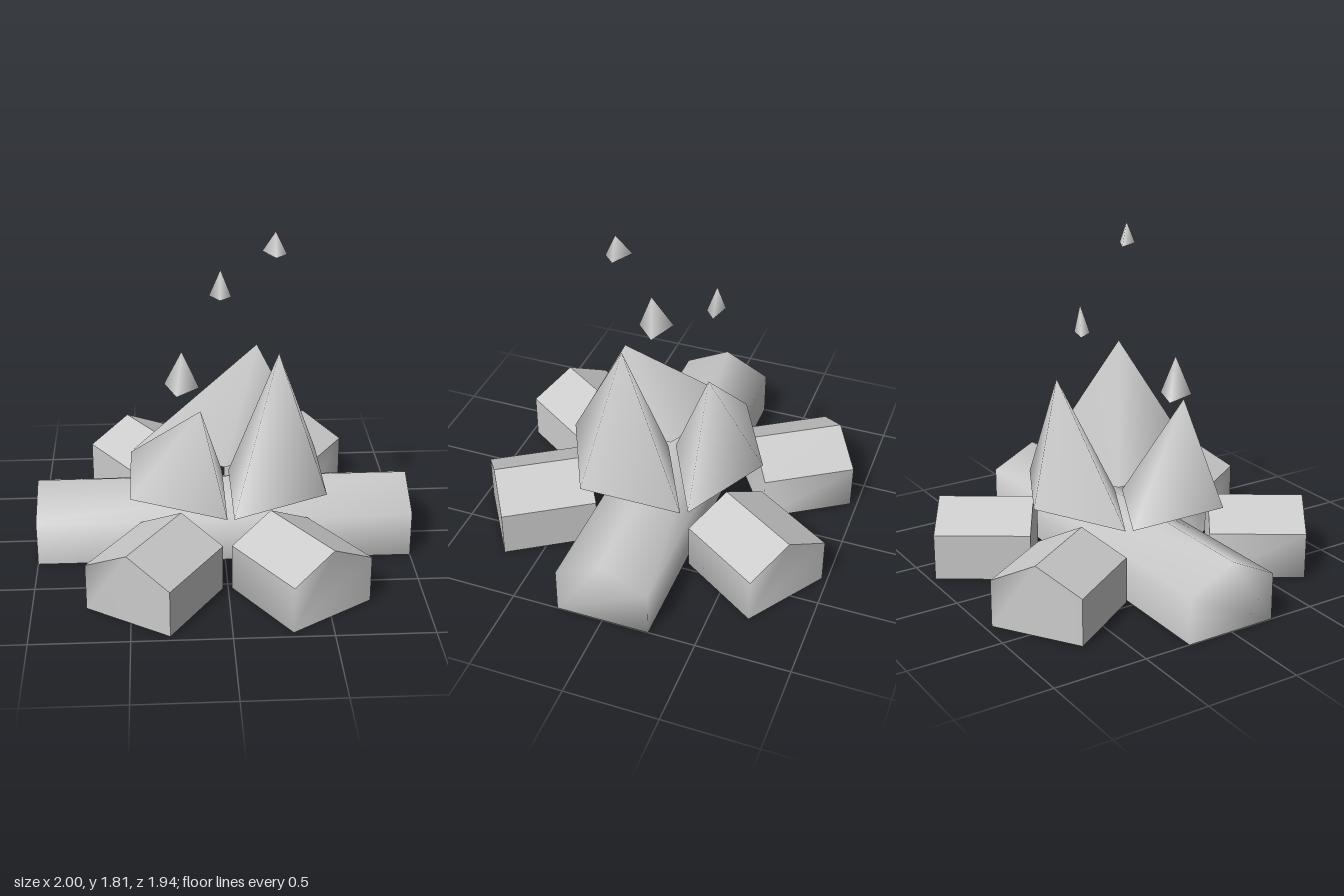
import * as THREE from 'three';

// Five-sided log section, counter-clockwise seen from the +z end
const SECTION = [[-0.25, 0], [0.25, 0], [0.25, 0.25], [0, 0.375], [-0.25, 0.25]];

function meshFrom(name, points, index) {
  const geo = new THREE.BufferGeometry();
  geo.setAttribute('position', new THREE.Float32BufferAttribute(points.flat(), 3));
  geo.setIndex(index);
  geo.computeVertexNormals();
  const mesh = new THREE.Mesh(geo, new THREE.MeshStandardMaterial({ color: 0xcccccc, side: THREE.DoubleSide }));
  mesh.name = name;
  return mesh;
}

// Log along z with two ends: soft sides blend into the ends, flat sides keep
// their own corners, and any side in neither list is left open
// (0 underside, 1 +x wall, 2 +x slope, 3 -x slope, 4 -x wall)
function makeLog(name, length, soft, flat) {
  const h = length / 2;
  const points = [h, -h].flatMap((z) => SECTION.map(([x, y]) => [x, y, z]));
  const index = [];
  const quad = (a, b, c, d) => index.push(a, b, c, a, c, d);
  for (const i of soft) {
    const j = (i + 1) % 5;
    quad(i, i + 5, j + 5, j);
  }
  for (const i of flat) {
    const j = (i + 1) % 5;
    const n = points.length;
    points.push(points[i], points[i + 5], points[j + 5], points[j]);
    quad(n, n + 1, n + 2, n + 3);
  }
  for (let i = 1; i < 4; i++) index.push(0, i, i + 1, 5, i + 6, i + 5);
  return meshFrom(name, points, index);
}

// Short log, open underneath, pointing outward from the middle
function shortLog(name, x, z) {
  const log = makeLog(name, 0.51, [4], [1, 2, 3]);
  log.position.set(x, 0, z);
  log.rotation.y = Math.atan2(Math.sign(x) * 0.548, Math.sign(z) * 0.836);
  return log;
}

// Hollow pyramid: base corners [x, z] counter-clockwise from above, open base
function pyramid(name, corners, baseY, tip) {
  const n = corners.length;
  const points = [...corners.map(([x, z]) => [x, baseY, z]), tip];
  const index = corners.flatMap((_, i) => [i, (i + 1) % n, n]);
  return meshFrom(name, points, index);
}

export function createModel() {
  const fire = new THREE.Group();
  fire.name = 'campfire';

  // Long log across the middle
  const longLog = makeLog('longLog', 2, [1, 2, 3, 4], [0]);
  longLog.rotation.y = Math.PI / 2;
  fire.add(longLog);

  // Four short logs fanning out
  fire.add(
    shortLog('frontRightLog', -0.376, 0.617),
    shortLog('frontLeftLog', 0.368, 0.614),
    shortLog('backRightLog', -0.389, -0.614),
    shortLog('backLeftLog', 0.385, -0.621),
  );

  // Three flames
  fire.add(
    pyramid('rightFlame', [[-0.5, -0.25], [-0.5, 0.31], [-0.005, 0.555], [-0.005, 0]], 0.41, [-0.13, 0.905, 0.31]),
    pyramid('leftFlame', [[0.03, 0], [0.03, 0.555], [0.53, 0.31], [0.53, -0.25]], 0.41, [0.28, 1.155, 0.16]),
    pyramid('backFlame', [[-0.485, -0.285], [0.01, -0.035], [0.51, -0.285], [0.01, -0.535]], 0.41, [0.2, 1.03, -0.28]),
  );

  // Sparks rising above
  fire.add(
    pyramid('lowSpark', [[-0.31, 0.095], [-0.25, 0.275], [-0.13, 0.16]], 0.97, [-0.22, 1.185, 0.19]),
    pyramid('middleSpark', [[-0.06, -0.28], [-0.005, -0.195], [0.06, -0.25]], 1.315, [0, 1.47, -0.25]),
    pyramid('highSpark', [[0.19, 0.125], [0.25, 0.245], [0.31, 0.185]], 1.69, [0.25, 1.81, 0.19]),
  );

  return fire;
}
